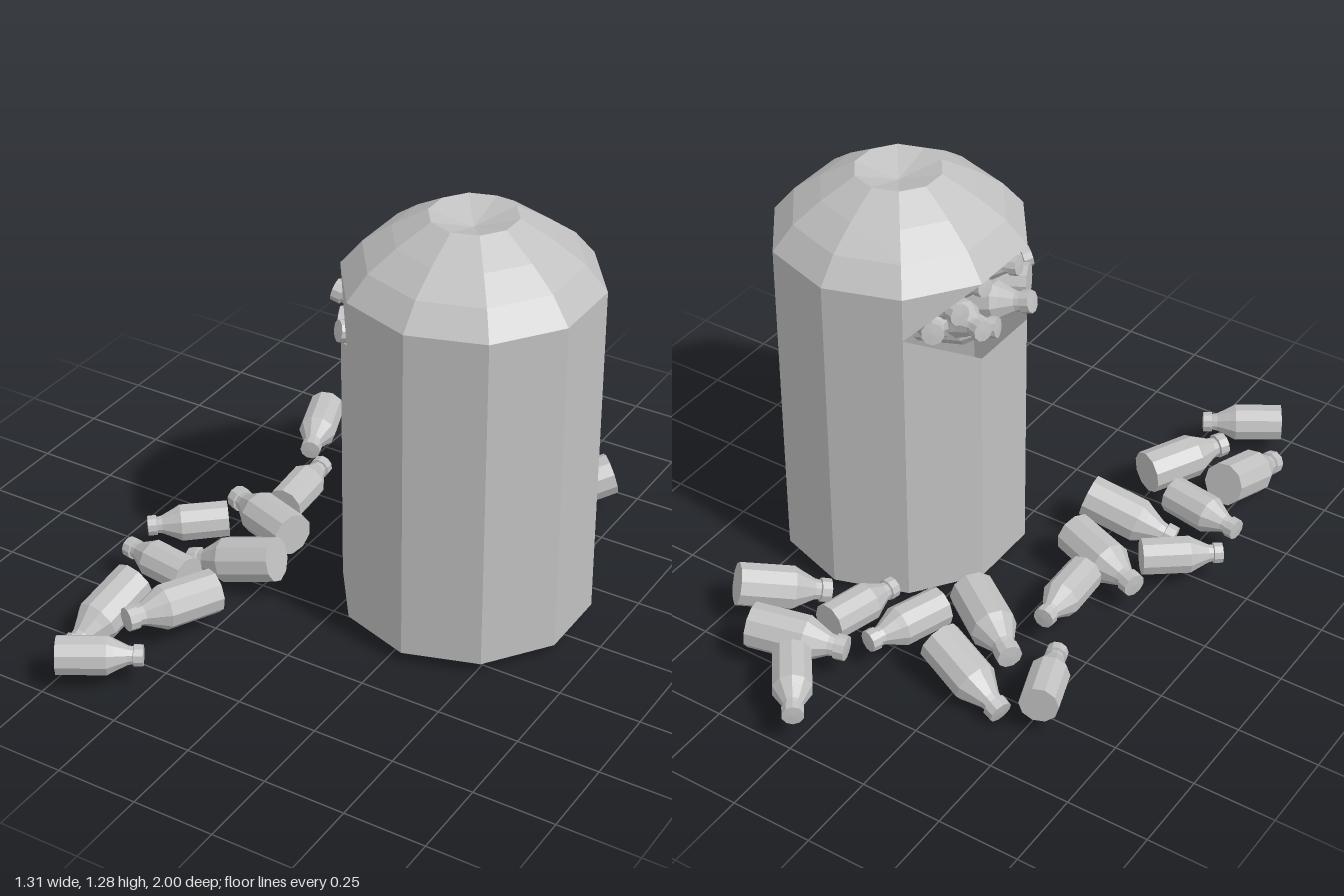
import * as THREE from 'three';

const BOTTLE_LENGTH = 0.26;

export function createModel() {
  const model = new THREE.Group();
  const grey = new THREE.MeshStandardMaterial({ color: 0xc0c0c0, flatShading: true, side: THREE.DoubleSide });
  grey.name = 'grey';
  const v2 = ([r, y]) => new THREE.Vector2(r, y);

  // Ten-sided bottle bank
  const bank = new THREE.Group();
  bank.name = 'bottleBank';
  bank.position.set(0.297, 0, -0.012);
  model.add(bank);

  const SIDES = 10, RADIUS = 0.375, BASE = 0.035, TOP = 1.08;
  const corner = (i, y) => {
    const a = (i / SIDES) * Math.PI * 2;
    return [RADIUS * Math.sin(a), y, RADIUS * Math.cos(a)];
  };

  // Wall panels: below and above a seam that opens into a hexagonal mouth on the -x side
  const inMouth = (i) => i === 7 || i === 8;
  const seamLow = (i) => (inMouth(i) ? 0.83 : 0.945);
  const seamHigh = (i) => (inMouth(i) ? TOP : 0.945);
  const positions = [];
  const quad = (a, b, c, d) => positions.push(...a, ...b, ...c, ...a, ...c, ...d);
  for (let i = 0; i < SIDES; i++) {
    const j = i + 1;
    quad(corner(i, BASE), corner(j, BASE), corner(j, seamLow(j)), corner(i, seamLow(i)));
    if (i === 7) continue;
    if (inMouth(i)) {
      positions.push(...corner(i, TOP), ...corner(j, seamHigh(j)), ...corner(j, TOP));
    } else if (inMouth(j)) {
      positions.push(...corner(i, seamHigh(i)), ...corner(j, TOP), ...corner(i, TOP));
    } else {
      quad(corner(i, seamHigh(i)), corner(j, seamHigh(j)), corner(j, TOP), corner(i, TOP));
    }
  }
  const wallGeometry = new THREE.BufferGeometry();
  wallGeometry.setAttribute('position', new THREE.Float32BufferAttribute(positions, 3));
  wallGeometry.computeVertexNormals();

  const add = (parent, geometry, name) => {
    const mesh = new THREE.Mesh(geometry, grey);
    mesh.name = name;
    parent.add(mesh);
    return mesh;
  };
  add(bank, wallGeometry, 'wall');

  // Domed lid with a sunken centre, and the floor
  const dome = [[RADIUS, TOP], [0.313, 1.155], [0.23, 1.215], [0.128, 1.275], [0, 1.235]];
  add(bank, new THREE.LatheGeometry(dome.map(v2), SIDES), 'lid');
  add(bank, new THREE.LatheGeometry([[0, BASE], [RADIUS, BASE]].map(v2), SIDES), 'floor');

  // Bottle, standing on its base
  const profile = [
    [0, 0], [0.06, 0], [0.061, 0.152], [0.05, 0.172], [0.03, 0.212],
    [0.027, 0.228], [0.034, 0.23], [0.033, 0.258], [0, BOTTLE_LENGTH],
  ];
  const bottleGeometry = new THREE.LatheGeometry(profile.map(v2), 10);
  const up = new THREE.Vector3(0, 1, 0);

  // Places one bottle from its base centre to its mouth
  const addBottle = (parent, [bx, by, bz, tx, ty, tz], name) => {
    const base = new THREE.Vector3(bx, by, bz);
    const axis = new THREE.Vector3(tx, ty, tz).sub(base);
    const bottle = add(parent, bottleGeometry, name);
    bottle.position.copy(base);
    bottle.scale.setScalar(axis.length() / BOTTLE_LENGTH);
    bottle.quaternion.setFromUnitVectors(up, axis.normalize());
  };

  // Bottles scattered on the ground: base x, y, z, then mouth x, y, z
  const ground = new THREE.Group();
  ground.name = 'scatteredBottles';
  model.add(ground);
  [
    [0.155, 0.105, -0.78, 0, 0.105, -0.98],
    [0.32, 0.115, -0.75, 0.04, 0.1, -0.67],
    [0.45, 0.135, -0.65, 0.255, 0.065, -0.46],
    [-0.165, 0.115, -0.51, -0.43, 0.034, -0.59],
    [-0.54, 0.105, -0.57, -0.455, 0.09, -0.335],
    [-0.12, 0.11, -0.275, -0.365, 0.1, -0.445],
    [-0.075, 0.1, -0.37, 0.01, 0.1, -0.615],
    [0.15, 0.1, -0.61, 0.095, 0.09, -0.365],
    [-0.345, 0.1, -0.015, -0.36, 0.11, -0.265],
    [-0.23, 0.11, 0.115, -0.5, 0.1, 0.015],
    [-0.45, 0.105, 0.135, -0.64, 0.1, 0.29],
    [-0.185, 0.13, 0.27, -0.465, 0.055, 0.315],
    [-0.38, 0.105, 0.445, -0.625, 0.1, 0.405],
    [-0.49, 0.115, 0.56, -0.52, 0.034, 0.84],
    [-0.265, 0.117, 0.48, -0.395, 0.122, 0.735],
    [-0.48, 0.103, 0.95, -0.27, 0.1, 0.82],
  ].forEach((ends) => addBottle(ground, ends, 'groundBottle'));

  // Bottles crowding the mouth of the bank
  const stuffed = new THREE.Group();
  stuffed.name = 'mouthBottles';
  model.add(stuffed);
  [
    [0.13, 0.88, 0, -0.12, 0.95, 0.04],
    [0.13, 0.92, -0.08, -0.09, 0.955, -0.165],
    [0.15, 0.9, -0.05, 0.015, 0.96, -0.26],
    [0.2, 0.97, -0.1, -0.03, 1.0, -0.19],
    [-0.03, 0.92, 0.16, 0.18, 0.91, 0.07],
    [0.17, 0.9, 0.05, 0.015, 0.95, 0.24],
    [0.2, 0.96, 0.07, -0.03, 1.0, 0.11],
    [0.16, 0.87, -0.12, -0.07, 0.9, -0.06],
    [0.2, 0.96, -0.02, -0.02, 1.01, -0.05],
    [0.18, 0.85, 0.1, -0.03, 0.89, 0.08],
  ].forEach((ends) => addBottle(stuffed, ends, 'mouthBottle'));

  return model;
}
